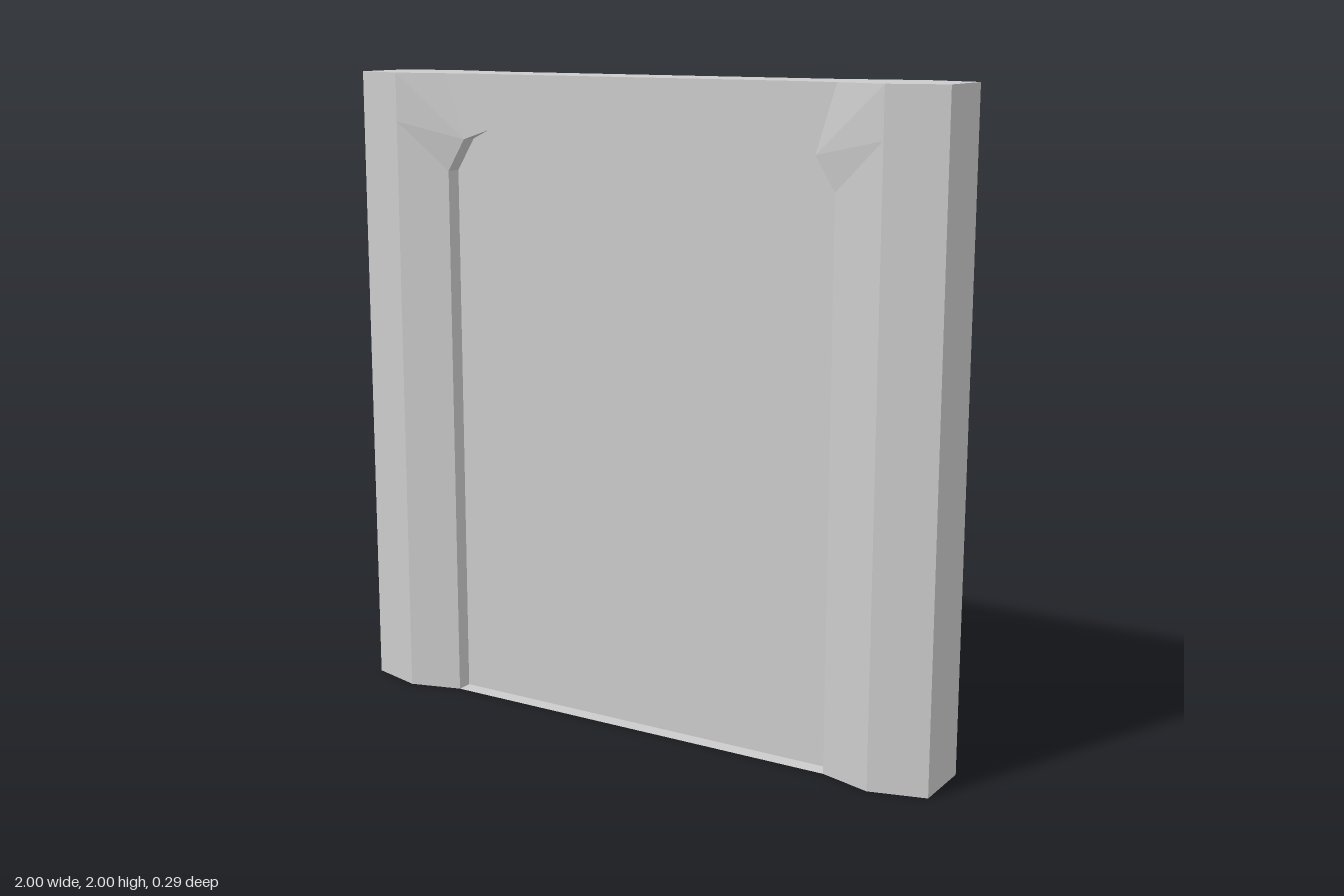
import * as THREE from 'three';

const RIDGE = 0.83, RIDGE_Z = 0.147, FACE_Z = 0.1, PANEL_Z = 0.05, H = 2;
// Right half of the opening, from the floor up to the centre of the header
const opening = [[0.667, 0], [0.667, 1.7], [0.605, 1.8], [0.5, 1.85], [0, 1.85]];

// Convex polygons of one quarter (+x, +z), mirrored into all four quarters
function mirroredGeometry(polygons) {
  const pos = [];
  for (const sx of [1, -1]) for (const sz of [1, -1]) {
    for (const poly of polygons) {
      const p = poly.map(([x, y, z]) => [x * sx, y, z * sz]);
      for (let i = 1; i < p.length - 1; i++) {
        const tri = sx * sz > 0 ? [p[0], p[i], p[i + 1]] : [p[0], p[i + 1], p[i]];
        pos.push(...tri.flat());
      }
    }
  }
  const g = new THREE.BufferGeometry();
  g.setAttribute('position', new THREE.Float32BufferAttribute(pos, 3));
  g.computeVertexNormals();
  return g;
}

export function createModel() {
  const group = new THREE.Group();
  const add = (name, geometry, side = THREE.FrontSide) => {
    const material = new THREE.MeshStandardMaterial({ color: 0xcccccc, flatShading: true, side });
    const mesh = new THREE.Mesh(geometry, material);
    mesh.name = name;
    group.add(mesh);
  };
  const flat = (x, y) => [x, y, FACE_Z];
  const ridge = (y) => [RIDGE, y, RIDGE_Z];
  const section = (y) => [[0, y, 0], [0, y, FACE_Z], flat(0.667, y), ridge(y), flat(1, y), [1, y, 0]];

  // Side posts: outer bevel, inner bevel and end face
  add('posts', mirroredGeometry([
    [ridge(0), flat(1, 0), flat(1, H), ridge(H)],
    [flat(0.667, 0), ridge(0), ridge(1.7), flat(0.667, 1.7)],
    [[1, 0, 0], [1, H, 0], flat(1, H), flat(1, 0)],
  ]));

  // Faceted corners that blend the posts into the header
  add('corners', mirroredGeometry([
    [flat(0.667, 1.7), ridge(1.7), ridge(1.85), flat(0.605, 1.8)],
    [flat(0.605, 1.8), ridge(1.85), ridge(H), flat(0.667, H)],
  ]));

  // Header face and top of the frame
  add('header', mirroredGeometry([
    [flat(0, H), flat(0, 1.85), flat(0.5, 1.85), flat(0.605, 1.8), flat(0.667, H)],
    section(H),
  ]));

  // Thin sill closing the bottom
  add('sill', mirroredGeometry([section(0).reverse()]), THREE.DoubleSide);

  // Reveal between the frame face and the recessed panel
  add('reveal', mirroredGeometry(opening.slice(1).map(([x, y], i) => {
    const [px, py] = opening[i];
    return [flat(px, py), flat(x, y), [x, y, PANEL_Z], [px, py, PANEL_Z]];
  })));

  // Recessed panel filling the opening
  const outline = [...opening.slice(0, 4), ...opening.slice(0, 4).reverse().map(([x, y]) => [-x, y])];
  const shape = new THREE.Shape(outline.map(([x, y]) => new THREE.Vector2(x, y)));
  const panel = new THREE.ExtrudeGeometry(shape, { depth: PANEL_Z * 2, bevelEnabled: false });
  panel.translate(0, 0, -PANEL_Z);
  add('panel', panel);

  return group;
}
